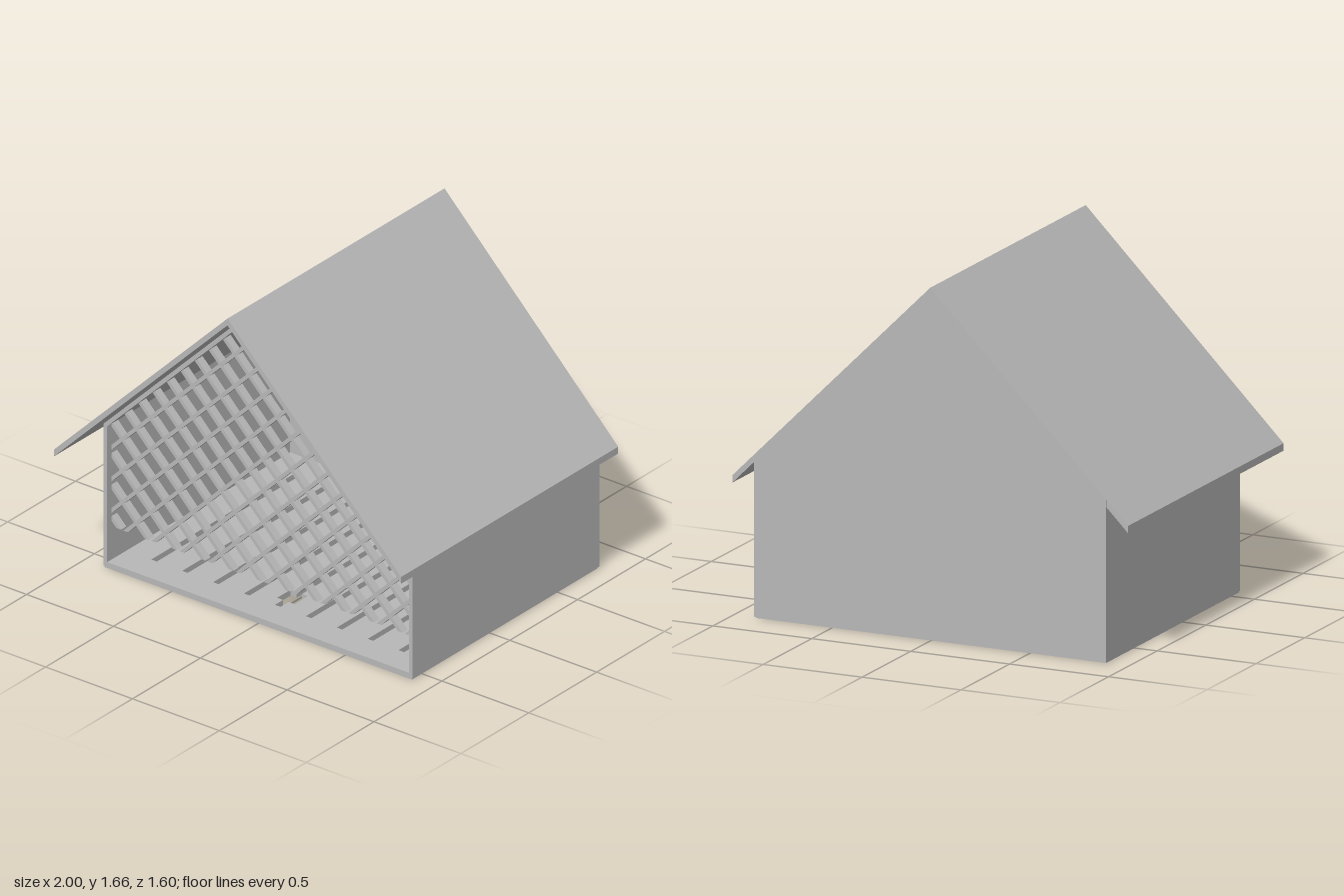
import * as THREE from 'three';

const grey = new THREE.MeshStandardMaterial({ color: 0xb8b8b8 });
grey.name = 'plain grey';

// Extrudes a polygon, given as [x, y] points, from z0 to z1
function slab(name, points, z0, z1, holes = []) {
  const toVectors = (list) => list.map(([x, y]) => new THREE.Vector2(x, y));
  const shape = new THREE.Shape(toVectors(points));
  for (const hole of holes) shape.holes.push(new THREE.Path(toVectors(hole)));
  const geometry = new THREE.ExtrudeGeometry(shape, { depth: z1 - z0, bevelEnabled: false });
  geometry.translate(0, 0, z0);
  const mesh = new THREE.Mesh(geometry, grey);
  mesh.name = name;
  return mesh;
}

// Keeps the part of a convex polygon where a*x + b*y <= c
function clip(points, a, b, c) {
  const out = [];
  points.forEach((p, i) => {
    const q = points[(i + 1) % points.length];
    const dp = a * p[0] + b * p[1] - c;
    const dq = a * q[0] + b * q[1] - c;
    if (dp <= 0) out.push(p);
    if (dp * dq < 0) {
      const t = dp / (dp - dq);
      out.push([p[0] + (q[0] - p[0]) * t, p[1] + (q[1] - p[1]) * t]);
    }
  });
  return out;
}

const rect = (x0, y0, x1, y1) => [[x0, y0], [x1, y0], [x1, y1], [x0, y1]];

// House outline with a 45 degree gable
const gable = (w, base, apex) => [[-w, base], [w, base], [w, apex - w], [0, apex], [-w, apex - w]];

export function createModel() {
  const model = new THREE.Group();
  model.name = 'house';

  // Roof with straight-cut eaves
  model.add(slab('roof', [
    [-1, 0.625], [0, 1.625], [1, 0.625], [1, 0.66], [0, 1.66], [-1, 0.66],
  ], -0.799, 0.8));

  // Side walls and ceiling lining in one arch
  model.add(slab('walls', [
    [0.89, 0.008], [0.89, 0.735], [0, 1.625], [-0.89, 0.735], [-0.89, 0.008],
    [-0.87, 0.008], [-0.87, 0.727], [0, 1.597], [0.87, 0.727], [0.87, 0.008],
  ], -0.78, 0.575));

  // Closed back gable, flush with the roof end
  model.add(slab('backWall', gable(0.89, 0.008, 1.658), -0.8, -0.775));

  // Floor with long slots; the middle one widens into a square hole
  const slots = [];
  const h = 0.016;
  for (let i = -4; i <= 4; i++) {
    const x = i * 0.178;
    slots.push(i !== 0 ? rect(x - h, -0.43, x + h, 0.64) : [
      [-h, -0.43], [h, -0.43], [h, -0.37], [0.05, -0.37], [0.05, -0.27], [h, -0.27],
      [h, 0.64], [-h, 0.64], [-h, -0.27], [-0.05, -0.27], [-0.05, -0.37], [-h, -0.37],
    ]);
  }
  const floor = slab('floor', rect(-0.885, -0.573, 0.885, 0.79), 0, 0.03, slots);
  floor.rotation.x = -Math.PI / 2;
  model.add(floor);

  // Diagonal lattice across the open front, trimmed to the opening
  const lattice = new THREE.Group();
  lattice.name = 'lattice';
  const opening = gable(0.87, 0.2, 1.597);
  const pitch = 0.162;
  const half = 0.013;
  for (const side of [-1, 1]) {
    for (let k = -6; k <= 9; k++) {
      const c = 0.18 + k * pitch;
      let bar = clip(opening, side, 1, c + half);
      bar = clip(bar, -side, -1, half - c);
      if (bar.length > 2) lattice.add(slab('latticeBar', bar, 0.5, 0.54));
    }
  }
  model.add(lattice);

  // Box on the inside of the back wall, with a sloping underside
  const box = slab('wallBox', [
    [-0.776, 0.885], [-0.6, 0.96], [-0.6, 1.315], [-0.776, 1.315],
  ], -0.165, 0.165);
  box.rotation.y = -Math.PI / 2;
  model.add(box);

  return model;
}
